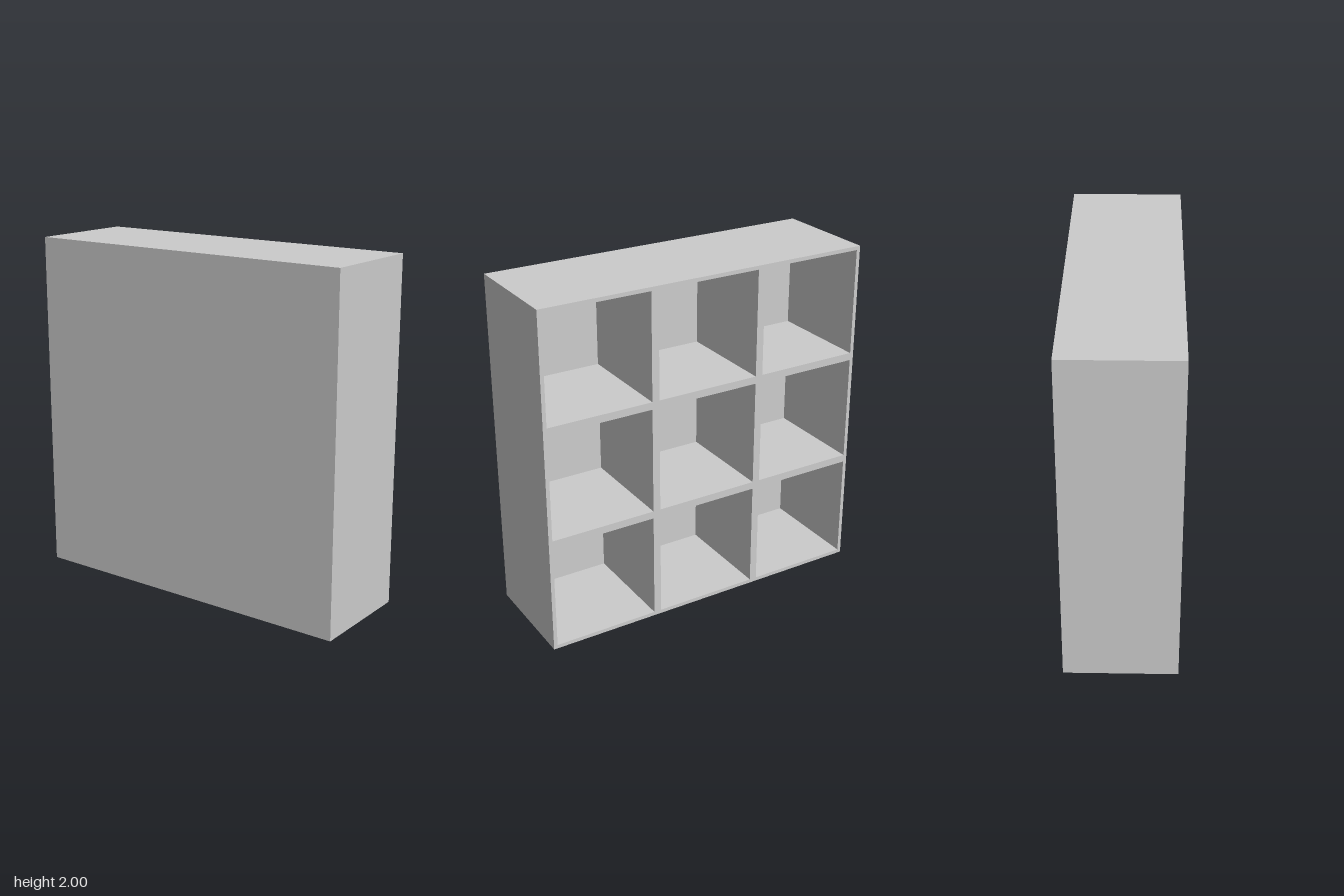
import * as THREE from 'three';

const SIZE = 2, DEPTH = 0.64, WALL = 0.022, CELLS = 3;

// Counter-clockwise rectangle points from a lower-left corner
function rect(x, y, w, h) {
  return [[x, y], [x + w, y], [x + w, y + h], [x, y + h]].map(([a, b]) => new THREE.Vector2(a, b));
}

export function createModel() {
  const group = new THREE.Group();
  group.name = 'cubbyShelf';
  const material = new THREE.MeshStandardMaterial({ color: 0xcccccc, flatShading: true });

  // Outer walls and dividers: a square with a grid of square openings
  const outline = new THREE.Shape(rect(-SIZE / 2, 0, SIZE, SIZE));
  const pitch = SIZE / CELLS;
  const opening = pitch - 2 * WALL;
  for (let row = 0; row < CELLS; row++) {
    for (let col = 0; col < CELLS; col++) {
      const x = -SIZE / 2 + col * pitch + WALL;
      const y = row * pitch + WALL;
      outline.holes.push(new THREE.Path(rect(x, y, opening, opening)));
    }
  }
  const frame = new THREE.Mesh(
    new THREE.ExtrudeGeometry(outline, { depth: DEPTH - WALL, bevelEnabled: false }),
    material
  );
  frame.name = 'compartmentFrame';
  frame.position.z = -DEPTH / 2;
  group.add(frame);

  // Solid panel closing the front; the compartments open to the back
  const panel = new THREE.Mesh(new THREE.BoxGeometry(SIZE, SIZE, WALL), material);
  panel.name = 'closingPanel';
  panel.position.set(0, SIZE / 2, DEPTH / 2 - WALL / 2);
  group.add(panel);

  return group;
}
